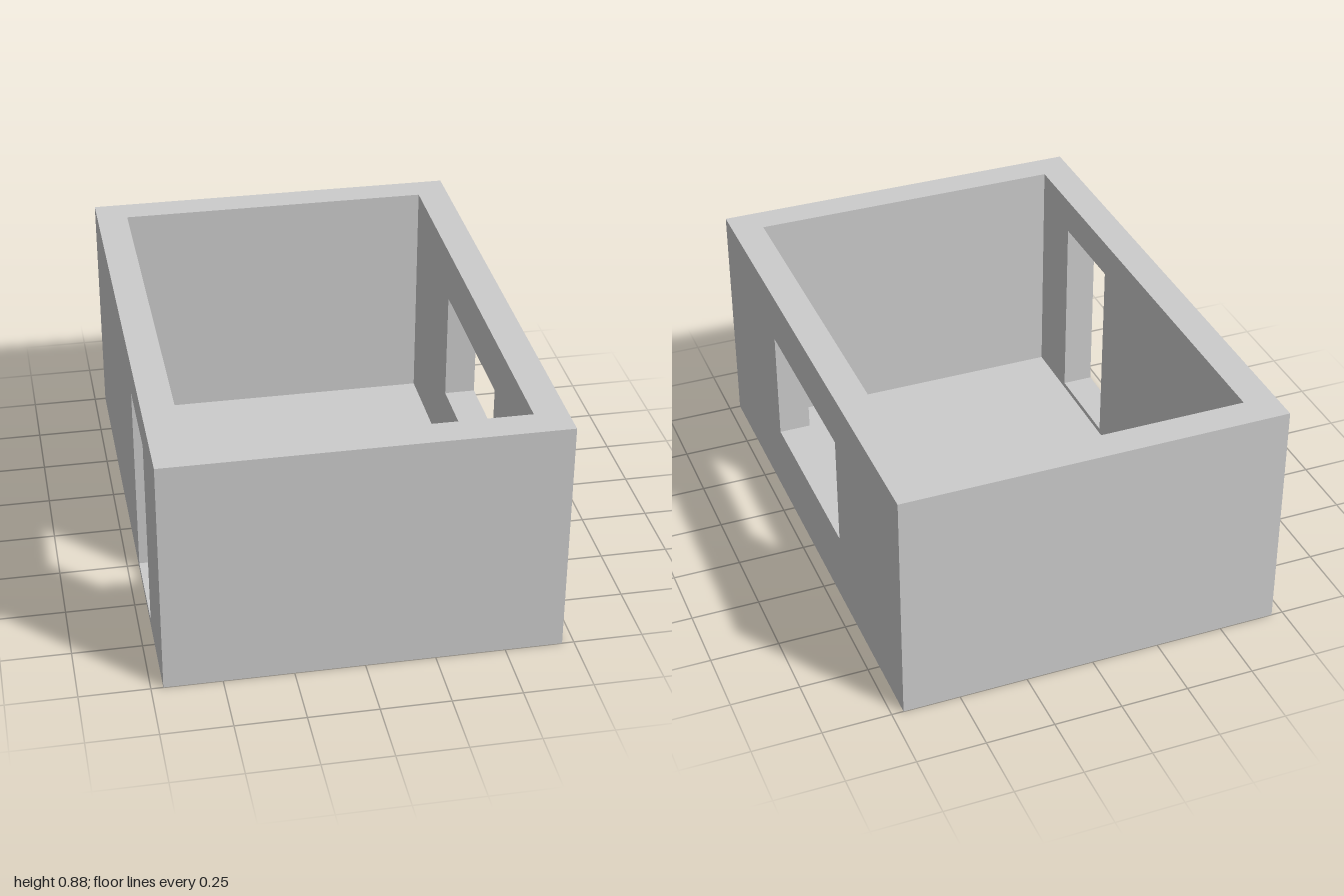
import * as THREE from 'three';

const W = 1.414, H = 0.883, L = 2;  // outer width, height, length
const T = 0.117;                    // wall thickness
const F = 0.005;                    // floor slab thickness

const material = new THREE.MeshStandardMaterial({ color: 0xcccccc, flatShading: true });

function rectangle(path, z0, y0, z1, y1) {
  path.moveTo(z0, y0);
  path.lineTo(z1, y0);
  path.lineTo(z1, y1);
  path.lineTo(z0, y1);
  path.closePath();
  return path;
}

// Long wall drawn in the z-y plane with one opening, extruded towards -x
function sideWall(name, outerX, [z0, y0, z1, y1]) {
  const shape = rectangle(new THREE.Shape(), -L / 2, F, L / 2, H);
  shape.holes.push(rectangle(new THREE.Path(), z0, y0, z1, y1));
  const geometry = new THREE.ExtrudeGeometry(shape, { depth: T, bevelEnabled: false });
  geometry.rotateY(-Math.PI / 2);
  geometry.translate(outerX, 0, 0);
  const mesh = new THREE.Mesh(geometry, material);
  mesh.name = name;
  return mesh;
}

function box(name, w, h, d, y, z) {
  const mesh = new THREE.Mesh(new THREE.BoxGeometry(w, h, d), material);
  mesh.name = name;
  mesh.position.set(0, y, z);
  return mesh;
}

export function createModel() {
  const room = new THREE.Group();
  room.name = 'room';

  // Thin floor slab
  room.add(box('floor', W, F, L, F / 2, 0));

  // Plain end walls fitted between the long walls
  for (const [name, s] of [['frontWall', 1], ['backWall', -1]]) {
    room.add(box(name, W - 2 * T, H - F, T, (H + F) / 2, s * (L - T) / 2));
  }

  // Long walls: a wide window on the left, a doorway with a low sill on the right
  room.add(sideWall('windowWall', W / 2, [-0.335, 0.27, 0.385, 0.692]));
  room.add(sideWall('doorWall', -W / 2 + T, [0.275, 0.025, 0.635, 0.752]));

  return room;
}
